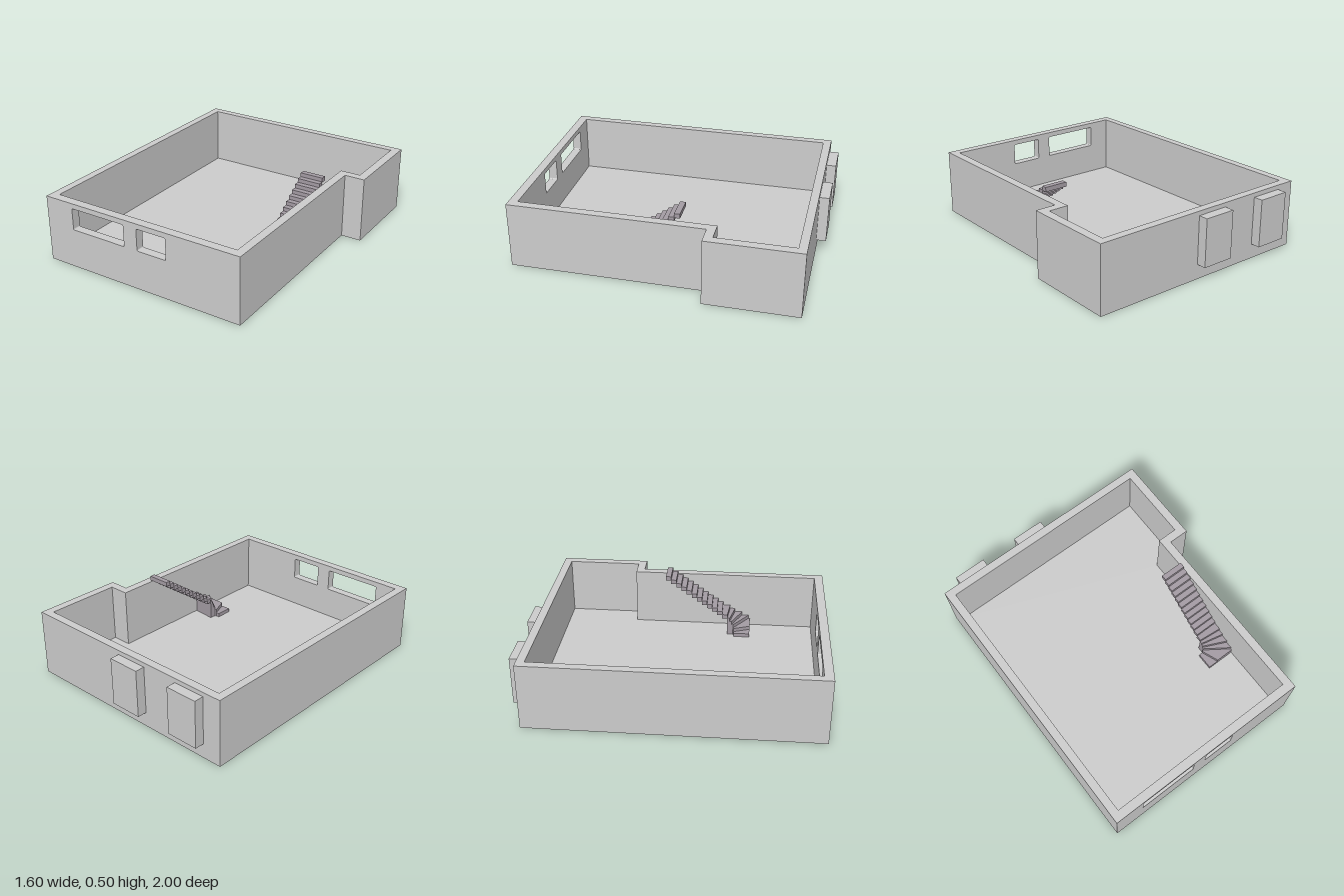
import * as THREE from 'three';

const grey = new THREE.MeshStandardMaterial({ color: 0xcccccc, flatShading: true });
const stairGrey = new THREE.MeshStandardMaterial({ color: 0xa39ba3, flatShading: true });

const HEIGHT = 0.455, FLOOR = 0.053;

// Solid from a plan outline of [x, z] points, standing between two heights
function prism(name, plan, bottom, top, material = grey) {
  const shape = new THREE.Shape(plan.map(([x, z]) => new THREE.Vector2(x, -z)));
  const geometry = new THREE.ExtrudeGeometry(shape, { depth: top - bottom, bevelEnabled: false });
  geometry.rotateX(-Math.PI / 2).translate(0, bottom, 0);
  const mesh = new THREE.Mesh(geometry, material);
  mesh.name = name;
  return mesh;
}

const rect = (x0, x1, z0, z1) => [[x0, z0], [x1, z0], [x1, z1], [x0, z1]];

// Window opening with slightly rounded corners
function windowHole(x0, x1, y0, y1, r = 0.008) {
  const p = new THREE.Path();
  p.absarc(x0 + r, y0 + r, r, Math.PI, 1.5 * Math.PI);
  p.absarc(x1 - r, y0 + r, r, -0.5 * Math.PI, 0);
  p.absarc(x1 - r, y1 - r, r, 0, 0.5 * Math.PI);
  p.absarc(x0 + r, y1 - r, r, 0.5 * Math.PI, Math.PI);
  p.closePath();
  return p;
}

function createFrontWall() {
  const shape = new THREE.Shape([
    new THREE.Vector2(-0.8, 0), new THREE.Vector2(0.66, 0),
    new THREE.Vector2(0.66, HEIGHT), new THREE.Vector2(-0.8, HEIGHT),
  ]);
  shape.holes.push(windowHole(-0.59, -0.18, 0.27, 0.42), windowHole(-0.08, 0.137, 0.27, 0.42));
  const geometry = new THREE.ExtrudeGeometry(shape, { depth: 0.06, bevelEnabled: false, curveSegments: 4 });
  const mesh = new THREE.Mesh(geometry.translate(0, 0, 0.94), grey);
  mesh.name = 'frontWall';
  return mesh;
}

function createStairs() {
  const stairs = new THREE.Group();
  stairs.name = 'stairs';
  const rise = (0.502 - FLOOR) / 17;

  // Entry step and winders, solid down to the floor
  const winders = [
    [[0.405, 0.37], [0.43, 0.37], [0.475, 0.485], [0.405, 0.485]],
    [[0.43, 0.37], [0.438, 0.363], [0.6, 0.475], [0.6, 0.485], [0.475, 0.485]],
    [[0.438, 0.363], [0.44, 0.352], [0.6, 0.425], [0.6, 0.475]],
    [[0.44, 0.352], [0.44, 0.338], [0.6, 0.373], [0.6, 0.425]],
    [[0.44, 0.338], [0.44, 0.32], [0.6, 0.335], [0.6, 0.373]],
  ];
  winders.forEach((plan, i) =>
    stairs.add(prism('winderStep', plan, FLOOR, FLOOR + rise * (i + 1), stairGrey)));

  // Straight flight of floating treads
  const going = 0.0375;
  for (let i = 0; i < 12; i++) {
    const z = 0.32 - i * going;
    const top = FLOOR + rise * (i + 6);
    const plan = rect(0.44, 0.6, z - going, z);
    if (i === 0) plan[2] = [0.6, 0.335];
    stairs.add(prism('tread', plan, top - 0.031, top, stairGrey));
  }
  return stairs;
}

export function createModel() {
  const model = new THREE.Group();
  model.name = 'basement';

  // Side and back walls as one open ring with the stepped-out corner
  const inner = [[-0.745, 0.94], [-0.745, -0.88], [0.742, -0.88], [0.742, -0.367], [0.603, -0.367], [0.603, 0.94]];
  const outer = [[0.66, 0.94], [0.66, -0.31], [0.8, -0.31], [0.8, -0.935], [-0.8, -0.935], [-0.8, 0.94]];
  model.add(prism('sideAndBackWalls', [...inner, ...outer], 0, HEIGHT));
  model.add(prism('floor', inner, 0, FLOOR));
  model.add(createFrontWall());

  // Boxes on the outside of the back wall
  for (const x of [-0.67, -0.185])
    model.add(prism('backWallBox', rect(x, x + 0.225, -1, -0.935), 0.1, 0.425));

  model.add(createStairs());
  return model;
}
